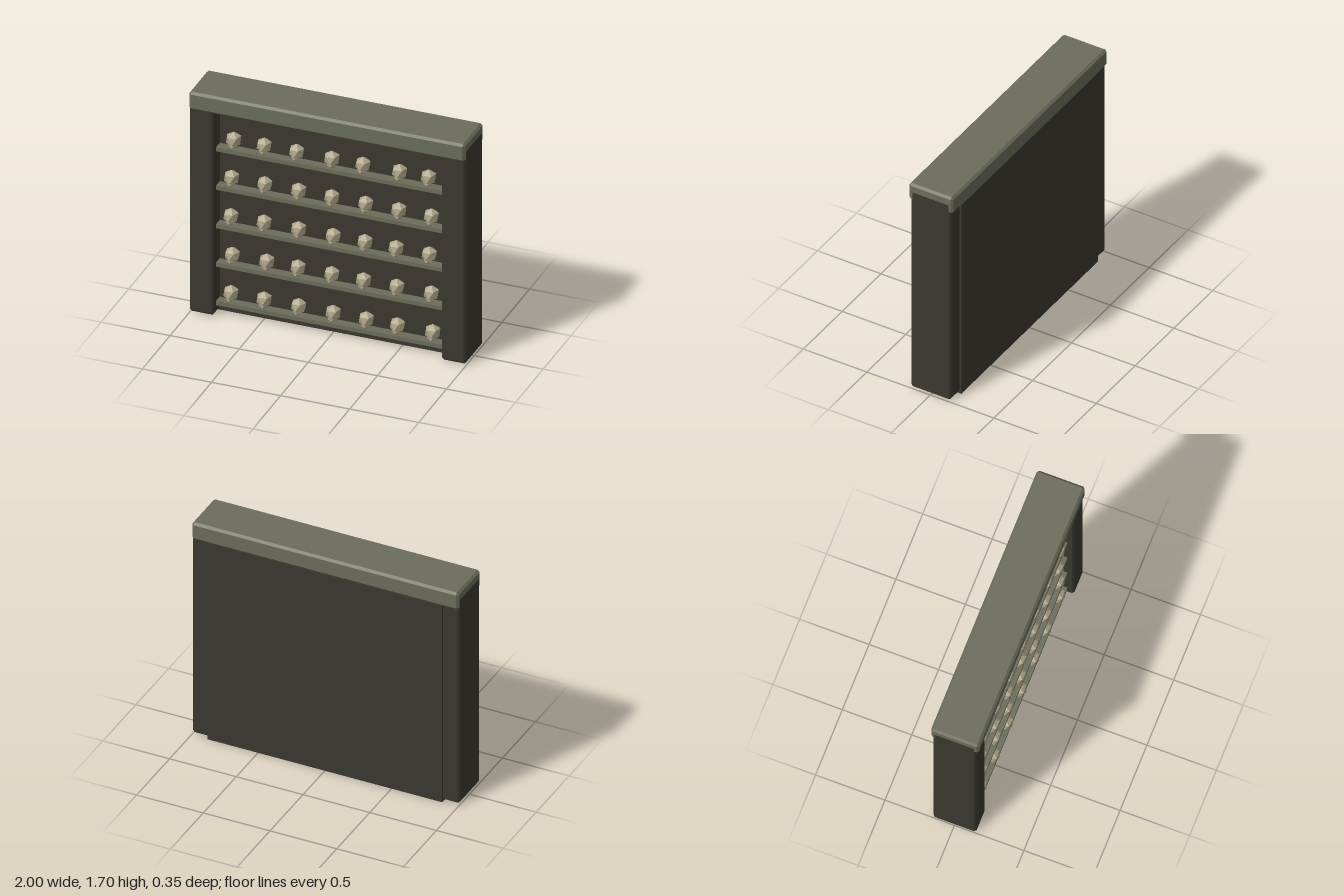
import * as THREE from 'three';
import { ConvexGeometry } from 'three/addons/geometries/ConvexGeometry.js';

const stone = new THREE.MeshStandardMaterial({ color: 0x6b6d5a });
stone.name = 'mossy stone';
const dark = new THREE.MeshStandardMaterial({ color: 0x3a3830 });
dark.name = 'dark stone';
const bone = new THREE.MeshStandardMaterial({ color: 0xb0a68a, flatShading: true });
bone.name = 'bone';

// Box with chamfered edges, given by its minimum and maximum corners
function chamferBox(min, max, c) {
  const h = min.map((v, i) => (max[i] - v) / 2);
  const points = [];
  for (const sx of [-1, 1]) for (const sy of [-1, 1]) for (const sz of [-1, 1]) {
    for (let full = 0; full < 3; full++) {
      const p = [sx, sy, sz].map((s, i) => s * (i === full ? h[i] : h[i] - c));
      points.push(new THREE.Vector3(...p));
    }
  }
  const geometry = new ConvexGeometry(points);
  geometry.translate(min[0] + h[0], min[1] + h[1], min[2] + h[2]);
  return geometry;
}

function plainBox(min, max) {
  const s = max.map((v, i) => v - min[i]);
  return new THREE.BoxGeometry(...s).translate(
    min[0] + s[0] / 2, min[1] + s[1] / 2, min[2] + s[2] / 2);
}

// Icosahedron standing on a vertex, with one triangle facing the front
function uprightIcosahedron(radius) {
  const points = [new THREE.Vector3(0, radius, 0), new THREE.Vector3(0, -radius, 0)];
  const y = radius / Math.sqrt(5);
  for (let i = 0; i < 10; i++) {
    const a = i * Math.PI / 5;
    points.push(new THREE.Vector3(2 * y * Math.sin(a), i % 2 ? y : -y, 2 * y * Math.cos(a)));
  }
  return new ConvexGeometry(points);
}

export function createModel() {
  const model = new THREE.Group();
  model.name = 'boneShelfWall';
  const add = (parent, name, geometry, material) => {
    const mesh = new THREE.Mesh(geometry, material);
    mesh.name = name;
    parent.add(mesh);
    return mesh;
  };

  // Frame
  add(model, 'backPanel', plainBox([-0.88, 0, -0.17], [0.88, 1.57, 0.04]), dark);
  add(model, 'leftPost', chamferBox([0.825, 0.01, -0.155], [1, 1.65, 0.155], 0.014), dark);
  add(model, 'rightPost', chamferBox([-1, 0.01, -0.155], [-0.825, 1.65, 0.155], 0.014), dark);
  add(model, 'lintel', chamferBox([-0.999, 1.565, -0.173], [0.999, 1.7, 0.173], 0.016), stone);

  // Shelves, bottom to top, each with seven skulls
  const rows = [
    [-0.73, -0.49, -0.24, 0.01, 0.25, 0.475, 0.73],
    [-0.72, -0.47, -0.245, 0, 0.23, 0.47, 0.72],
    [-0.73, -0.49, -0.24, 0.01, 0.24, 0.465, 0.705],
    [-0.725, -0.485, -0.24, 0, 0.245, 0.485, 0.72],
    [-0.71, -0.49, -0.255, 0, 0.225, 0.49, 0.7],
  ];
  const craniumGeometry = uprightIcosahedron(0.058);
  const jawGeometry = uprightIcosahedron(0.036);
  rows.forEach((xs, row) => {
    const top = 0.1 + row * 0.295;
    add(model, 'shelf', plainBox([-0.83, top - 0.03, 0], [0.83, top, 0.11]), stone);
    xs.forEach((x, i) => {
      const skull = new THREE.Group();
      skull.name = 'skull';
      skull.position.set(x, top + 0.068, 0.075);
      skull.rotation.y = 0.12 * Math.sin(row * 5 + i * 2.3);
      add(skull, 'cranium', craniumGeometry, bone);
      add(skull, 'jaw', jawGeometry, bone).position.set(0, -0.033, 0.012);
      model.add(skull);
    });
  });
  return model;
}
